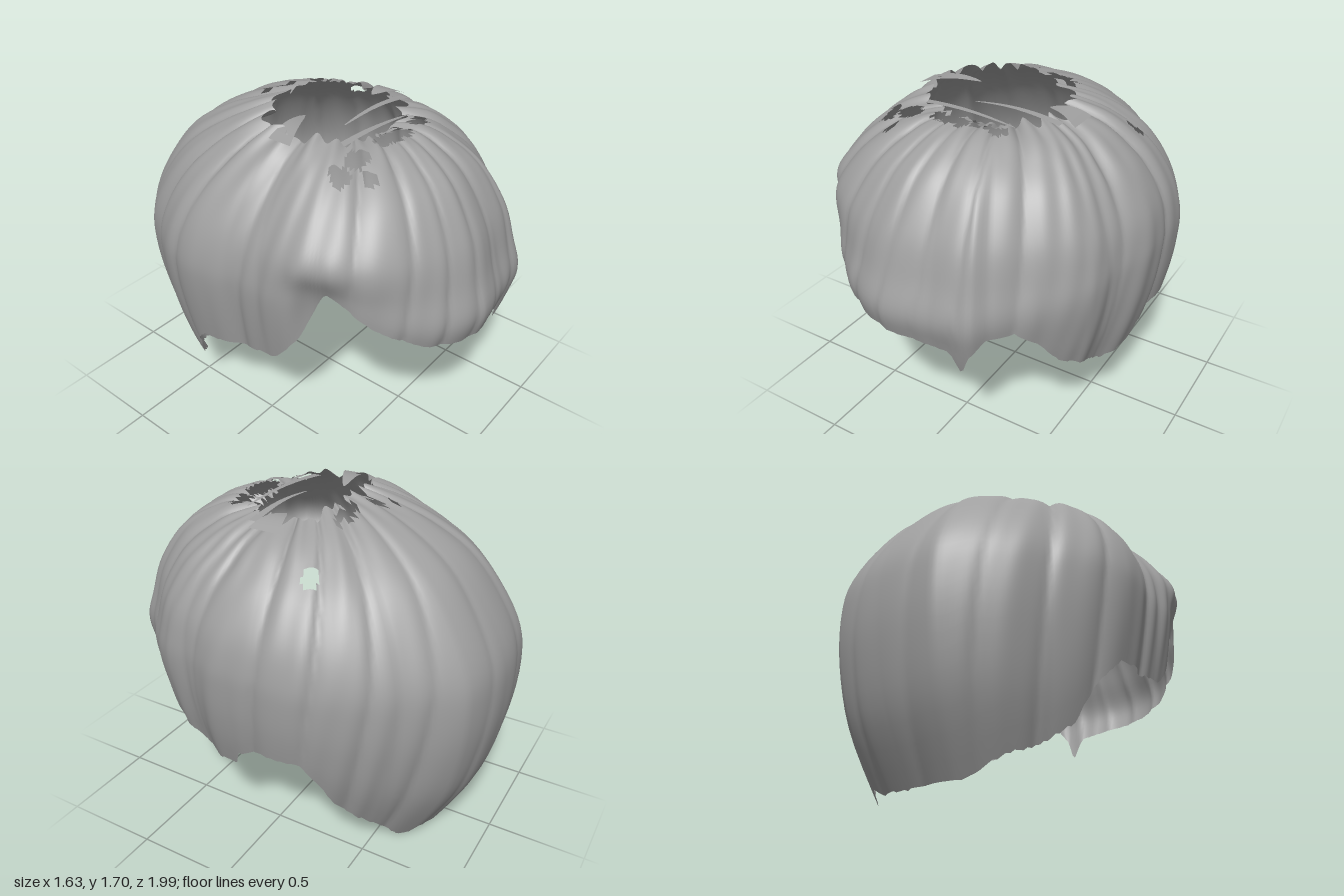
import * as THREE from 'three';

const CENTRE_Z = 0.1; // the crown sits slightly in front of the middle
const AZIMUTHS = 288;
const ROWS = 34;

// Crown-to-nape profiles as [distance from crown axis, height]
const PROFILES = {
  front: [[0.21, 1.59], [0.36, 1.62], [0.51, 1.57], [0.66, 1.46], [0.79, 1.26], [0.855, 1.06], [0.9, 0.9], [0.865, 0.75], [0.81, 0.58], [0.7, 0.3]],
  left: [[0.28, 1.64], [0.48, 1.56], [0.61, 1.46], [0.7, 1.36], [0.78, 1.22], [0.815, 1.08], [0.82, 0.95], [0.8, 0.75], [0.74, 0.5], [0.57, 0]],
  back: [[0.22, 1.71], [0.4, 1.66], [0.6, 1.58], [0.8, 1.45], [0.95, 1.27], [1.07, 1.05], [1.1, 0.85], [1.08, 0.6], [1.0, 0.3], [0.83, -0.01]],
  right: [[0.37, 1.67], [0.5, 1.6], [0.6, 1.51], [0.7, 1.39], [0.78, 1.25], [0.82, 1.1], [0.82, 0.95], [0.78, 0.7], [0.71, 0.4], [0.59, 0]],
};
const REACH = { front: 0.9, left: 0.82, back: 1.1, right: 0.82 };

// Local changes to the profile: the swept fringe is fuller high up,
// and its right corner folds in sharply below the crease
const SHAPING = [
  { angle: 308, width: 22, amounts: [0, 0.01, 0.04, 0.06, 0.07, 0.01, -0.03, -0.06, -0.06, 0] },
  { angle: 299, width: 9, amounts: [0, 0, 0, 0, 0.01, -0.07, -0.09, -0.04, 0, 0] },
];

// Widest plan outline [x, z], running from the front round the left side
const OUTLINE = [[0, 0.99], [0.14, 0.96], [0.34, 0.94], [0.385, 0.86], [0.56, 0.69], [0.71, 0.49], [0.74, 0.37],
  [0.8, 0.21], [0.82, 0.05], [0.82, -0.08], [0.8, -0.31], [0.73, -0.47], [0.66, -0.6], [0.56, -0.7], [0.33, -0.93],
  [0.16, -0.99], [0, -1], [-0.32, -0.97], [-0.53, -0.79], [-0.66, -0.58], [-0.79, -0.36], [-0.82, -0.17], [-0.79, 0.02],
  [-0.77, 0.2], [-0.76, 0.4], [-0.68, 0.58], [-0.5, 0.81], [-0.28, 0.95], [-0.1, 1]];

// Hem heights as [azimuth in degrees, y], with the pointed lock at 18 degrees
const HEM = [[0, 0.77], [14, 0.74], [18, 0.6], [21, 0.74], [26, 0.83], [35, 0.84], [42, 0.77], [51, 0.62], [63, 0.53],
  [75, 0.46], [91, 0.49], [93, 0.57], [104, 0.63], [117, 0.63], [124, 0.5], [130, 0.35], [144, 0.18], [156, 0.02],
  [160, 0.02], [162, 0.07], [166, 0.03], [180, 0.01], [199, 0.02], [210, 0.11], [222, 0.18], [232, 0.27], [240, 0.47],
  [249, 0.6], [265, 0.62], [282, 0.65], [293, 0.84], [302, 1.12], [318, 0.95], [333, 0.83], [346, 0.79], [360, 0.77]];

// Small gaps between locks around the crown: [x, z, half width, half depth]
const GAPS = [[-0.43, 0.4, 0.045, 0.05], [-0.31, 0.4, 0.07, 0.045], [-0.35, 0.5, 0.03, 0.04], [-0.06, 0.4, 0.12, 0.055],
  [0.14, 0.39, 0.06, 0.04], [-0.08, -0.3, 0.025, 0.035], [0, -0.23, 0.03, 0.045], [0.16, -0.18, 0.08, 0.04], [0.53, -0.22, 0.05, 0.04]];

function lookUp(table, x) {
  for (let i = 1; i < table.length; i++) {
    const [x0, y0] = table[i - 1], [x1, y1] = table[i];
    if (x <= x1) return y0 + (y1 - y0) * (x - x0) / (x1 - x0);
  }
  return table[table.length - 1][1];
}

const RADII = OUTLINE.map(([x, z]) => {
  const angle = THREE.MathUtils.radToDeg(Math.atan2(x, z - CENTRE_Z));
  return [(angle + 360) % 360, Math.hypot(x, z - CENTRE_Z)];
});
RADII.push([360, RADII[0][1]]);

// Profile at one azimuth, blended from the two nearest main directions
function profileAt(angle) {
  const s = Math.sin(angle), c = Math.cos(angle);
  const ends = c > 0 ? 'front' : 'back', side = s > 0 ? 'left' : 'right';
  const degrees = THREE.MathUtils.radToDeg(angle);
  const radius = lookUp(RADII, degrees);
  return new THREE.SplineCurve(PROFILES[ends].map(([r, y], k) => {
    const [r2, y2] = PROFILES[side][k];
    let f = (r / REACH[ends]) * c * c + (r2 / REACH[side]) * s * s;
    for (const { angle: middle, width, amounts } of SHAPING) {
      f += amounts[k] * Math.exp(-(((degrees - middle) / width) ** 2));
    }
    return new THREE.Vector2(f * radius, y * c * c + y2 * s * s);
  }));
}

// Where the profile meets the hem height
function hemParameter(curve, hemY) {
  for (let t = 0.3; t < 1; t += 0.004) if (curve.getPoint(t).y <= hemY) return t;
  return 1;
}

// Depth of the grooves between locks, strongest on the two sides
function groove(angle, t) {
  const a = angle + 0.22 * t;
  const broad = Math.abs(Math.sin(9 * a + 1.8 * Math.sin(2 * a) + Math.sin(3 * a)));
  const fine = Math.sin(31 * a + 2 * Math.sin(5 * a) + 3 * t);
  const weight = 0.3 + 0.6 * Math.abs(Math.sin(angle));
  return 0.005 + weight * (0.026 * (1 - broad) ** 2 + 0.005 * fine * Math.sin(4 * t + 3 * a));
}

function hairShell() {
  const positions = [], indices = [];
  for (let i = 0; i < AZIMUTHS; i++) {
    const angle = i / AZIMUTHS * Math.PI * 2;
    const curve = profileAt(angle);
    const end = hemParameter(curve, lookUp(HEM, THREE.MathUtils.radToDeg(angle)));
    const ragged = 0.03 + 0.03 * Math.sin(19 * angle) * Math.sin(7 * angle + 1);
    for (let j = 0; j <= ROWS; j++) {
      const t = ragged + (end - ragged) * j / ROWS;
      const p = curve.getPoint(t);
      const crown = Math.max(0, 1 - t * 5);
      const depth = groove(angle, t);
      const r = p.x - depth * (1 - crown);
      const y = p.y - depth * 1.4 * Math.max(0, 1 - t * 2) + 0.01 * crown * Math.sin(23 * angle);
      positions.push(r * Math.sin(angle), y, CENTRE_Z + r * Math.cos(angle));
    }
  }
  const inGap = (v) => positions[v * 3 + 1] > 1.35 && GAPS.some(([x, z, w, d]) =>
    ((positions[v * 3] - x) / w) ** 2 + ((positions[v * 3 + 2] - z) / d) ** 2 < 1);
  for (let i = 0; i < AZIMUTHS; i++) {
    for (let j = 0; j < ROWS; j++) {
      const a = i * (ROWS + 1) + j, c = ((i + 1) % AZIMUTHS) * (ROWS + 1) + j;
      if (!inGap(a)) indices.push(a, a + 1, c, c, a + 1, c + 1);
    }
  }
  return surface(positions, indices);
}

// Flat tapering lock from a wide root to a pointed tip, slightly arched
function lock(root, tip, width) {
  const positions = [], indices = [], steps = 8;
  for (let i = 0; i <= steps; i++) {
    const u = i / steps, half = width * (1 - u) ** 0.7 / 2 + 0.003;
    const p = new THREE.Vector3(...root).lerp(new THREE.Vector3(...tip), u);
    p.y += 0.02 * Math.sin(Math.PI * u);
    positions.push(p.x, p.y, p.z - half, p.x, p.y, p.z + half);
    const a = i * 2;
    if (i < steps) {
      if (tip[0] > root[0]) indices.push(a, a + 1, a + 2, a + 2, a + 1, a + 3);
      else indices.push(a, a + 2, a + 1, a + 2, a + 3, a + 1);
    }
  }
  return surface(positions, indices);
}

function surface(positions, indices) {
  const geometry = new THREE.BufferGeometry();
  geometry.setAttribute('position', new THREE.Float32BufferAttribute(positions, 3));
  geometry.setIndex(indices);
  geometry.computeVertexNormals();
  return geometry;
}

export function createModel() {
  const model = new THREE.Group();
  model.name = 'hair';
  const hairGrey = new THREE.MeshStandardMaterial({ color: 0xa0a0a0, side: THREE.DoubleSide });
  hairGrey.name = 'hairGrey';
  const add = (name, geometry) => {
    const mesh = new THREE.Mesh(geometry, hairGrey);
    mesh.name = name;
    model.add(mesh);
  };

  add('hairShell', hairShell());

  // Loose locks reaching across the open crown
  add('rightCrownLock', lock([-0.46, 1.63, 0.09], [-0.19, 1.64, 0.01], 0.12));
  add('leftCrownLock', lock([0.42, 1.59, 0.09], [0.24, 1.62, 0.08], 0.16));
  add('middleCrownLock', lock([0.36, 1.6, 0.19], [-0.11, 1.61, 0.18], 0.04));
  add('frontCrownLock', lock([-0.4, 1.6, 0.29], [0.2, 1.6, 0.33], 0.04));
  return model;
}
